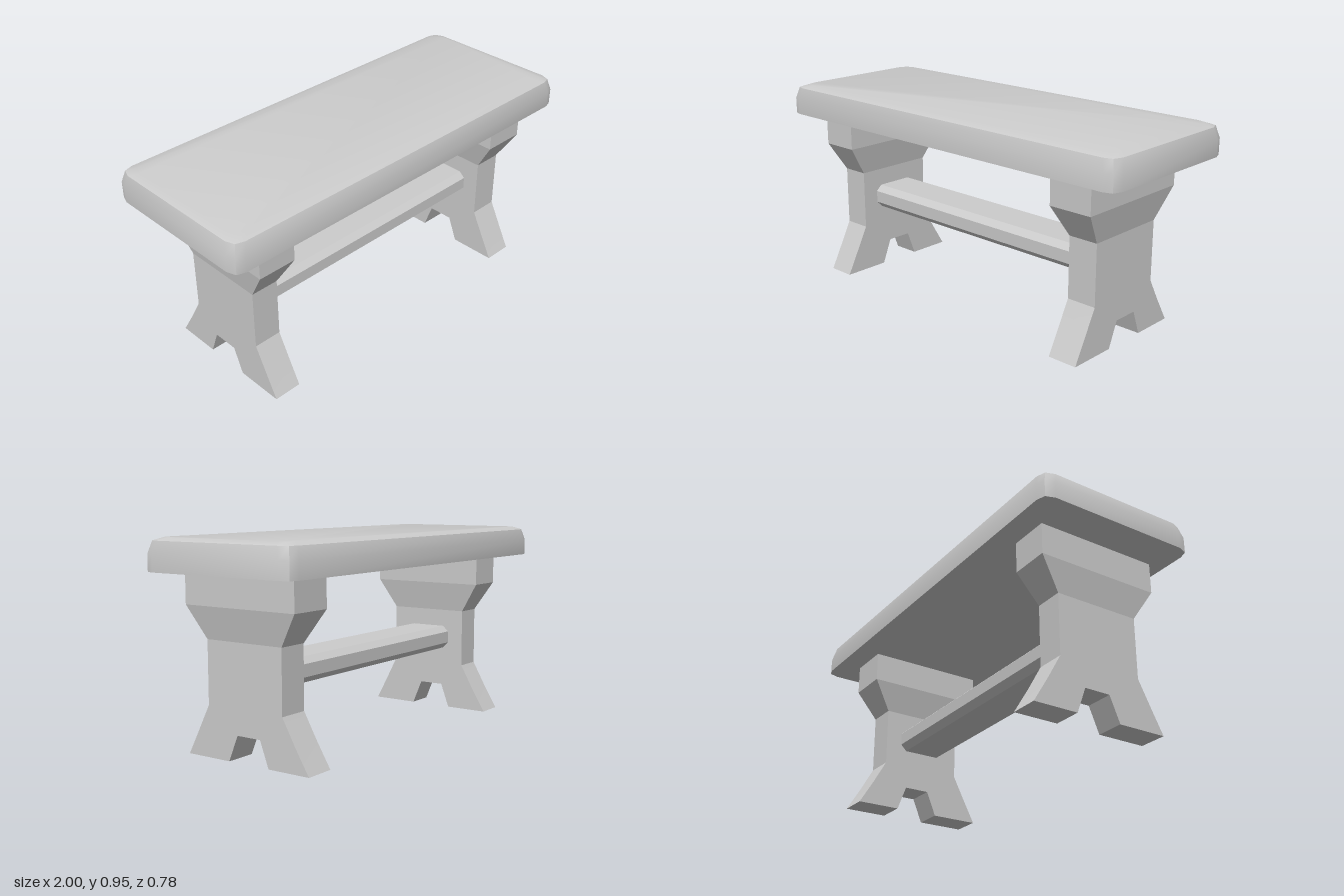
import * as THREE from 'three';
import { toCreasedNormals } from 'three/addons/utils/BufferGeometryUtils.js';

const material = new THREE.MeshStandardMaterial({ color: 0xcccccc });

function mesh(name, geometry, crease) {
  const m = new THREE.Mesh(toCreasedNormals(geometry, crease), material);
  m.name = name;
  return m;
}

// Skins rings of [x, y, z] points, listed bottom to top and anticlockwise from above.
function loft(rings) {
  const n = rings[0].length, positions = [], index = [];
  rings.forEach(ring => ring.forEach(p => positions.push(...p)));
  for (let k = 0; k < rings.length - 1; k++) {
    for (let i = 0; i < n; i++) {
      const a = k * n + i, b = k * n + (i + 1) % n;
      index.push(a, b, b + n, a, b + n, a + n);
    }
  }
  const top = (rings.length - 1) * n;
  for (let i = 1; i < n - 1; i++) {
    index.push(0, i + 1, i, top, top + i, top + i + 1);
  }
  const g = new THREE.BufferGeometry();
  g.setAttribute('position', new THREE.Float32BufferAttribute(positions, 3));
  g.setIndex(index);
  return g;
}

// Extrudes a [z, y] outline along x.
function extrudeX(outline, x0, x1) {
  const shape = new THREE.Shape(outline.map(p => new THREE.Vector2(...p)));
  const g = new THREE.ExtrudeGeometry(shape, { depth: x1 - x0, bevelEnabled: false });
  return g.rotateY(-Math.PI / 2).translate(x1, 0, 0);
}

// Cushion outline with two-segment corners, shrunk by an inset
function seatRing(y, inset) {
  const x = 1 - inset, z = 0.39 - inset;
  const corner = [[x, z - 0.055], [x - 0.015, z - 0.013], [x - 0.055, z]];
  const back = corner.map(([a, b]) => [a, y, -b]);
  const left = [...corner].reverse().map(([a, b]) => [-a, y, -b]);
  const opposite = [...back, ...left].map(([a, , b]) => [-a, y, -b]);
  return [...back, ...left, ...opposite];
}

// Rectangular leg section
const legRing = (y, x0, x1, z0, z1) =>
  [[x1, y, z1], [x1, y, z0], [x0, y, z0], [x0, y, z1]];

// Trestle leg: notched foot and waist, then a flared head that also thickens
function trestle(name, [x0, x1], [t0, t1]) {
  const leg = new THREE.Group();
  leg.name = name;
  const foot = [
    [0.342, 0], [0.284, 0.11], [0.222, 0.23], [0.222, 0.515],
    [-0.183, 0.515], [-0.183, 0.23], [-0.248, 0.115], [-0.318, 0],
    [-0.107, 0], [-0.063, 0.118], [0.061, 0.118], [0.11, 0],
  ];
  leg.add(mesh('legFoot', extrudeX(foot, x0, x1), 0.3));
  leg.add(mesh('legHead', loft([
    legRing(0.515, x0, x1, -0.183, 0.222),
    legRing(0.66, t0, t1, -0.277, 0.313),
    legRing(0.805, t0, t1, -0.277, 0.313),
  ]), 0.1));
  return leg;
}

export function createModel() {
  const bench = new THREE.Group();
  bench.name = 'bench';

  bench.add(mesh('seat', loft([
    seatRing(0.805, 0), seatRing(0.88, 0), seatRing(0.935, 0.015), seatRing(0.949, 0.05),
  ]), 0.6));

  bench.add(trestle('rightLeg', [-0.8, -0.667], [-0.825, -0.64]));
  bench.add(trestle('leftLeg', [0.66, 0.803], [0.625, 0.835]));

  // Bevelled stretcher between the legs
  const bar = [
    [0.11, 0.315], [0.14, 0.345], [0.14, 0.403], [0.11, 0.43],
    [-0.07, 0.43], [-0.1, 0.403], [-0.1, 0.345], [-0.07, 0.315],
  ];
  bench.add(mesh('stretcher', extrudeX(bar, -0.667, 0.66), 0.5));

  return bench;
}
